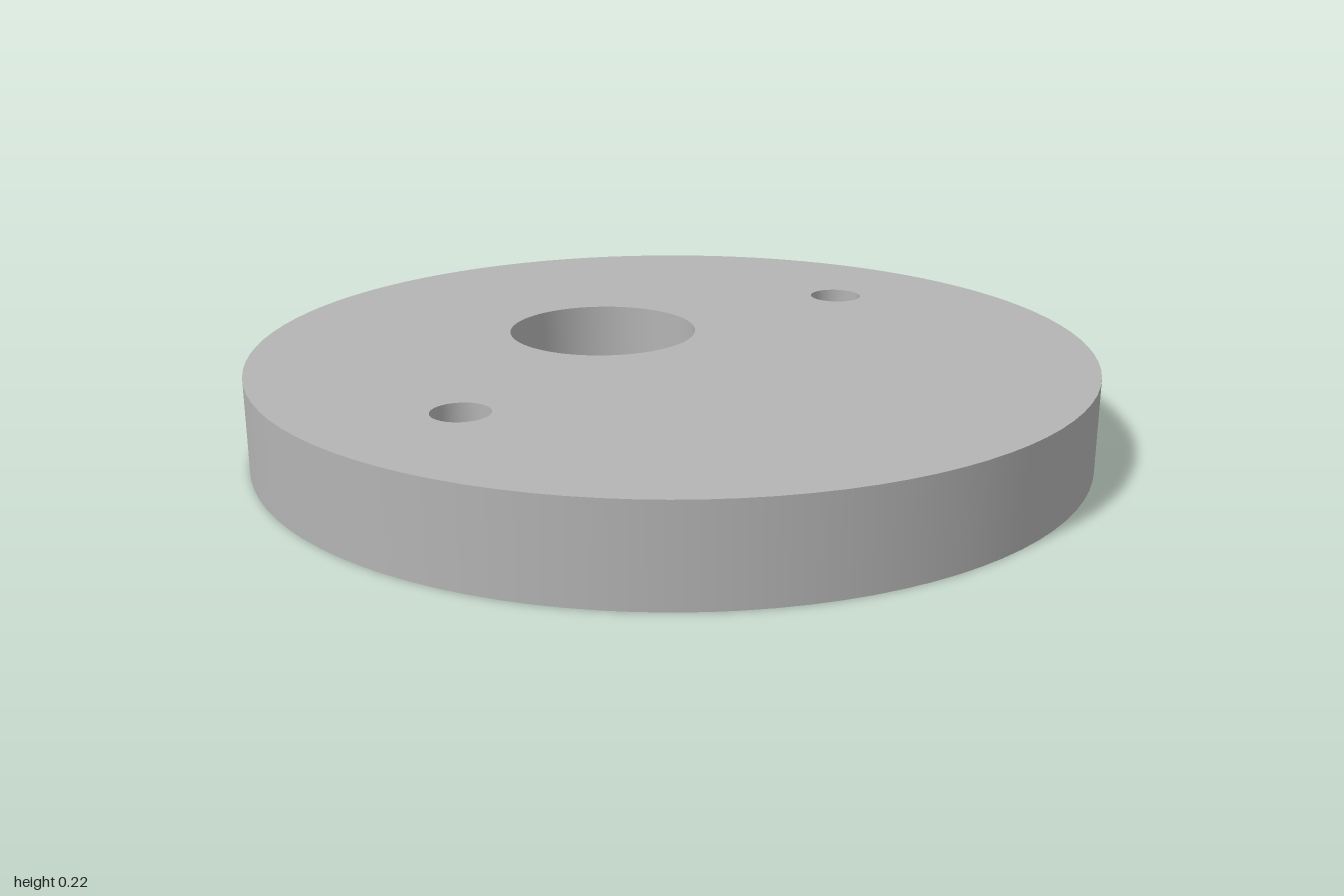
import * as THREE from 'three';

const HEIGHT = 0.222, RECESS = 0.066, SEAT = 0.132;
const RECESS_R = 0.745, SCREW_R = 0.042, HEAD_R = 0.066;
const BORE = { x: -0.23, z: 0, r: 0.23 };
const SCREWS = [{ x: 0, z: 0.67 }, { x: 0, z: -0.67 }];

export function createModel() {
  const group = new THREE.Group();
  const grey = new THREE.MeshStandardMaterial({ color: 0xb4b4b4 });
  grey.name = 'plain grey';

  const add = (name, geometry, x = 0, y = 0, z = 0) => {
    const mesh = new THREE.Mesh(geometry, grey);
    mesh.name = name;
    mesh.position.set(x, y, z);
    group.add(mesh);
  };

  // Flat round face with round holes; the layout is symmetric in z
  const face = (name, { x = 0, z = 0, r }, y, up, holes) => {
    const shape = new THREE.Shape().absarc(x, z, r, 0, Math.PI * 2);
    for (const h of holes) {
      shape.holes.push(new THREE.Path().absarc(h.x, h.z, h.r, 0, Math.PI * 2, true));
    }
    const geometry = new THREE.ShapeGeometry(shape, 48);
    geometry.rotateX(up ? -Math.PI / 2 : Math.PI / 2);
    add(name, geometry, 0, y, 0);
  };

  // Round wall: a rising profile faces outwards, a falling one inwards
  const wall = (name, { x = 0, z = 0, r }, from, to) => {
    const profile = [new THREE.Vector2(r, from), new THREE.Vector2(r, to)];
    add(name, new THREE.LatheGeometry(profile, 96), x, 0, z);
  };

  const heads = SCREWS.map((s) => ({ ...s, r: HEAD_R }));
  const shanks = SCREWS.map((s) => ({ ...s, r: SCREW_R }));

  // Disc body with a shallow round recess underneath
  wall('outerRim', { r: 1 }, 0, HEIGHT);
  face('topFace', { r: 1 }, HEIGHT, true, [BORE, ...heads]);
  face('bottomRing', { r: 1 }, 0, false, [{ x: 0, z: 0, r: RECESS_R }]);
  wall('recessWall', { r: RECESS_R }, RECESS, 0);
  face('recessFace', { r: RECESS_R }, RECESS, false, [BORE, ...shanks]);

  // Off-centre through bore
  wall('boreWall', BORE, HEIGHT, RECESS);

  // Counterbored screw holes
  SCREWS.forEach((s, i) => {
    wall('counterboreWall', heads[i], HEIGHT, SEAT);
    face('counterboreSeat', heads[i], SEAT, true, [shanks[i]]);
    wall('screwHoleWall', shanks[i], SEAT, RECESS);
  });

  return group;
}
